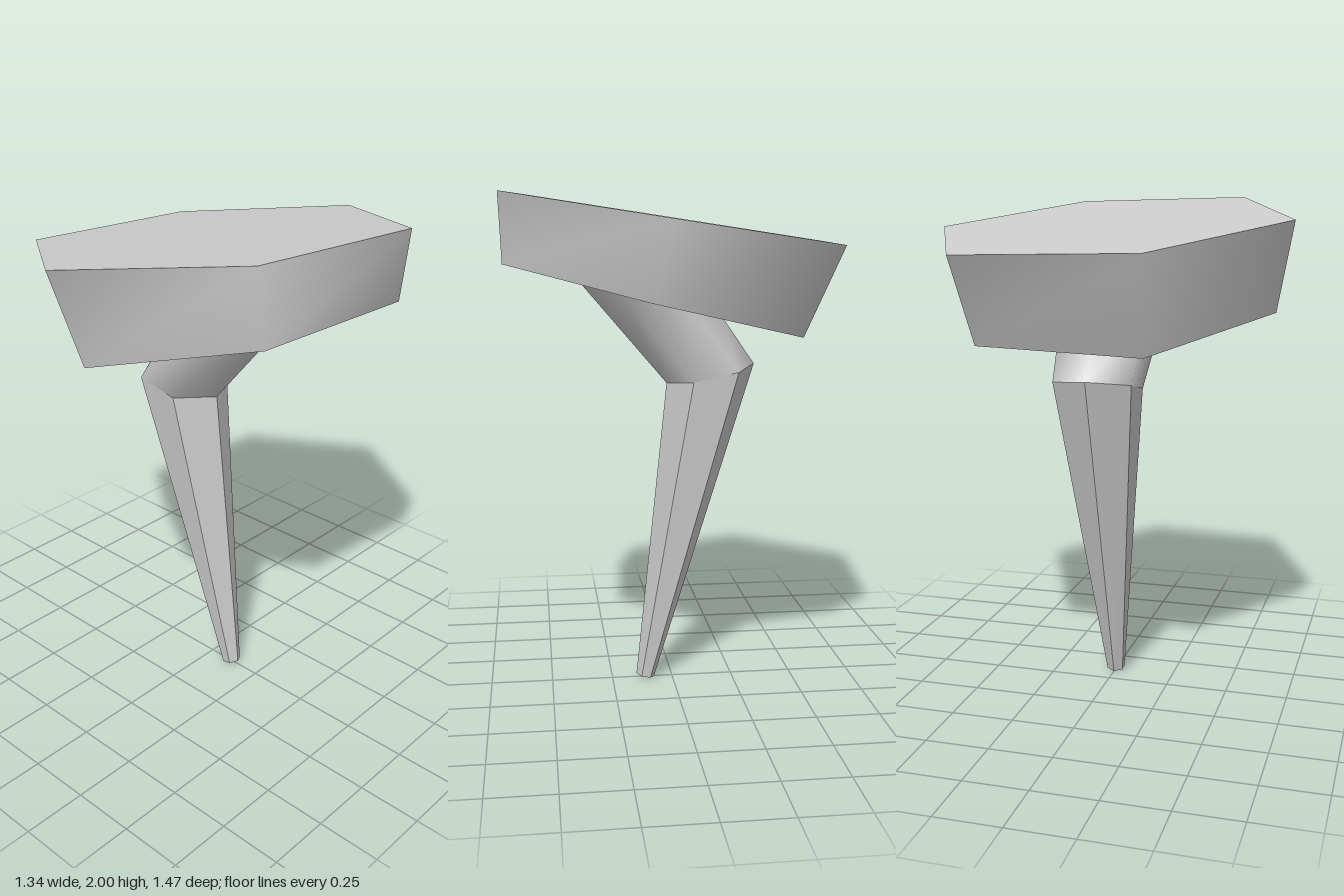
import * as THREE from 'three';

// Six corners around a centre from three half-turn pairs (x, z), lying on the plane y = cy + bx*x + bz*z
function hexRing(cx, cy, corners, bx, bz) {
  return [1, -1].flatMap(s => corners.map(([x, z]) =>
    new THREE.Vector3(cx + s * x, cy + s * (bx * x + bz * z), s * z)));
}

// Side wall between a lower and an upper ring
function wall(low, high, flat) {
  const n = low.length, index = [];
  for (let i = 0; i < n; i++) {
    const j = (i + 1) % n;
    index.push(i, n + i, j, j, n + i, n + j);
  }
  let geo = new THREE.BufferGeometry().setFromPoints([...low, ...high]);
  geo.setIndex(index);
  if (flat) geo = geo.toNonIndexed();
  geo.computeVertexNormals();
  return geo;
}

// Flat lid over a ring, facing up or down
function lid(ring, up) {
  const index = [];
  for (let i = 1; i < ring.length - 1; i++) index.push(0, up ? i + 1 : i, up ? i : i + 1);
  const geo = new THREE.BufferGeometry().setFromPoints(ring);
  geo.setIndex(index);
  geo.computeVertexNormals();
  return geo;
}

export function createModel() {
  const group = new THREE.Group();
  const grey = new THREE.MeshStandardMaterial({ color: 0xcccccc });
  const add = (name, geo) => {
    const mesh = new THREE.Mesh(geo, grey);
    mesh.name = name;
    group.add(mesh);
  };

  // Leaning, tapered shaft with sharp edges
  const tip = hexRing(0.112, 0.008, [[0.037, 0], [0.018, 0.033], [-0.018, 0.033]], 0.21, 0);
  const shoulder = hexRing(-0.157, 1.278, [[0.178, 0], [0.089, 0.157], [-0.089, 0.157]], -0.21, 0);
  add('shaft', wall(tip, shoulder, true));
  add('shaftTip', lid(tip, false));

  // Smooth neck bending the other way, cut obliquely by the underside of the head
  const neckTop = hexRing(0.085, 1.58, [[0.285, 0], [0.142, 0.194], [-0.142, 0.182]], 0.244, 0);
  neckTop[4].z = -0.182;
  neckTop[5].z = -0.194;
  add('neck', wall(shoulder, neckTop, false));

  // Tilted six-sided head with smooth sides and flat faces
  const headLow = hexRing(0.075, 1.578, [[0.585, -0.27], [0.52, 0.392], [-0.068, 0.662]], 0.244, 0);
  const headHigh = hexRing(0, 1.895, [[0.67, -0.303], [0.59, 0.433], [-0.08, 0.735]], 0.15, 0.038);
  add('headSide', wall(headLow, headHigh, false));
  add('headTop', lid(headHigh, true));
  add('headUnderside', lid(headLow, false));

  return group;
}
